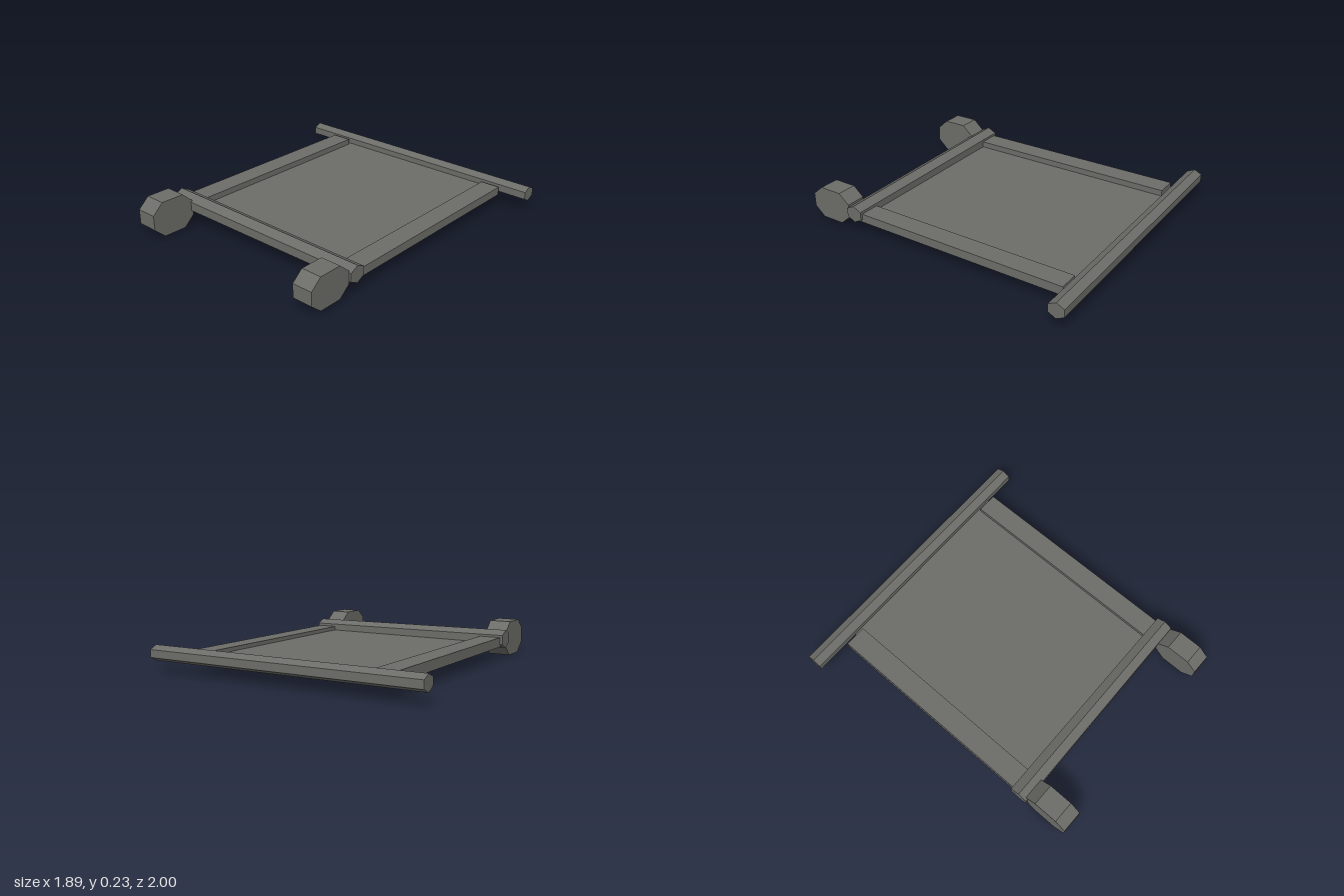
import * as THREE from 'three';

export function createModel() {
  const group = new THREE.Group();
  const grey = new THREE.MeshStandardMaterial({ color: 0x6c6c68, flatShading: true });
  grey.name = 'weathered grey';

  function add(name, geometry) {
    const mesh = new THREE.Mesh(geometry, grey);
    mesh.name = name;
    group.add(mesh);
    return mesh;
  }

  // Box given by its limits on each axis
  function slab(name, x0, x1, y0, y1, z0, z1) {
    add(name, new THREE.BoxGeometry(x1 - x0, y1 - y0, z1 - z0))
      .position.set((x0 + x1) / 2, (y0 + y1) / 2, (z0 + z1) / 2);
  }

  // Six-sided bar with a ridge on top, slightly skewed between its two ends
  function bar(name, from, to, r0, r1, depth) {
    const a = new THREE.Vector3(...from), b = new THREE.Vector3(...to);
    const dir = b.clone().sub(a);
    const geo = new THREE.CylinderGeometry(r1, r0, dir.length(), 6, 1, false, Math.PI / 6);
    geo.scale(1, 1, depth);
    geo.rotateZ(-Math.PI / 2);
    const mesh = add(name, geo);
    mesh.quaternion.setFromUnitVectors(new THREE.Vector3(1, 0, 0), dir.normalize());
    mesh.position.copy(a.add(b).multiplyScalar(0.5));
  }

  // Eight-sided block, long in z, extruded across x
  function block(name, x0, x1, y0, y1, z0, z1) {
    const cz = (z0 + z1) / 2, cy = (y0 + y1) / 2;
    const hz = (z1 - z0) / 2, hy = (y1 - y0) / 2;
    const outline = [[1, 0.42], [0.52, 1], [-0.52, 1], [-1, 0.42],
      [-1, -0.42], [-0.52, -1], [0.52, -1], [1, -0.42]]
      .map(([z, y]) => new THREE.Vector2(-(cz + z * hz), cy + y * hy));
    const geo = new THREE.ExtrudeGeometry(new THREE.Shape(outline), { depth: x1 - x0, bevelEnabled: false });
    geo.rotateY(Math.PI / 2);
    geo.translate(x0, 0, 0);
    add(name, geo);
  }

  // Thin panel and the two side rails resting over its edges
  slab('panel', -0.63, 0.715, 0.074, 0.105, -0.93, 0.64);
  slab('rightRail', -0.717, -0.572, 0.08, 0.145, -0.865, 0.68);
  slab('leftRail', 0.62, 0.755, 0.075, 0.132, -0.88, 0.67);

  // Cross bars
  bar('frontBar', [-0.735, 0.13, 0.645], [0.77, 0.121, 0.632], 0.061, 0.056, 1.15);
  bar('backBar', [-0.948, 0.121, -0.94], [0.945, 0.117, -0.95], 0.05, 0.05, 1.18);

  // End blocks
  block('rightEndBlock', -0.718, -0.572, 0, 0.235, 0.69, 1);
  block('leftEndBlock', 0.62, 0.756, 0.013, 0.225, 0.69, 0.99);

  return group;
}
